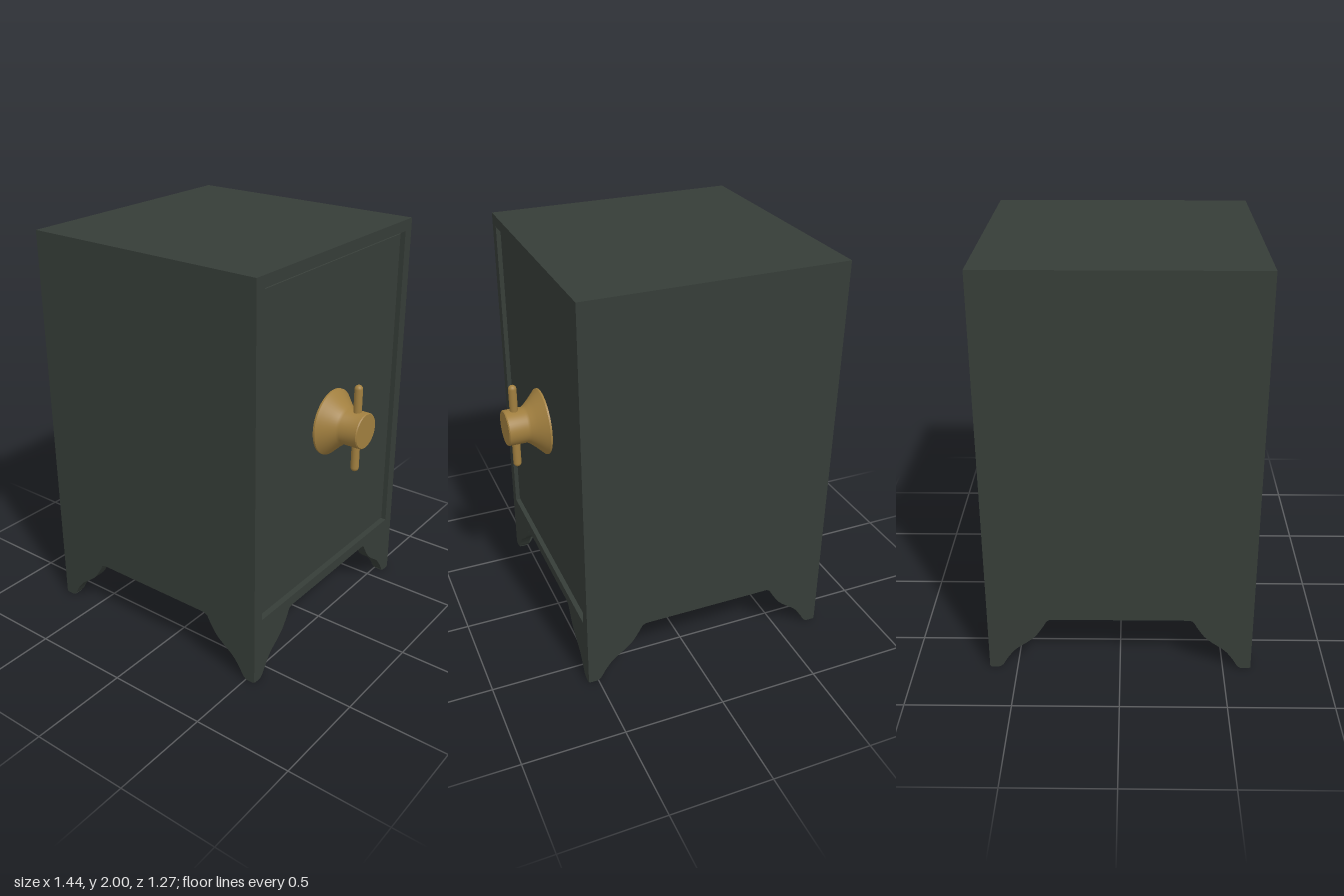
import * as THREE from 'three';
import { toCreasedNormals } from 'three/addons/utils/BufferGeometryUtils.js';

const HALF = 0.635;      // half of the square footprint
const CENTRE_X = -0.085; // cabinet centre, the knob sticks out on +x
const FLOOR = 0.28;      // underside of the cabinet
const TOP = 2;
const RECESS = 0.035;    // depth of the door opening
const PLATE = 0.055;     // thickness of the foot plates
const BEVEL = 0.006;

const iron = new THREE.MeshStandardMaterial({ color: 0x363d38 });
const brass = new THREE.MeshStandardMaterial({ color: 0xa17f3f });

function add(parent, name, geometry, material, x = 0, y = 0, z = 0) {
  const mesh = new THREE.Mesh(geometry, material);
  mesh.name = name;
  mesh.position.set(x, y, z);
  parent.add(mesh);
  return mesh;
}

function rectangle(target, halfWidth, bottom, top) {
  target.moveTo(-halfWidth, bottom);
  target.lineTo(halfWidth, bottom);
  target.lineTo(halfWidth, top);
  target.lineTo(-halfWidth, top);
  target.closePath();
  return target;
}

// One scalloped foot plate, running along +x from the corner
function footPlate() {
  const shape = new THREE.Shape();
  shape.moveTo(0, FLOOR);
  shape.lineTo(0, 0.006);
  shape.lineTo(0.006, 0);
  shape.lineTo(0.045, 0);
  shape.splineThru([
    [0.065, 0.014], [0.09, 0.055], [0.13, 0.105], [0.19, 0.15],
    [0.23, 0.186], [0.265, 0.237], [0.285, 0.27], [0.305, FLOOR],
  ].map(([x, y]) => new THREE.Vector2(x, y)));
  shape.closePath();
  const geometry = new THREE.ExtrudeGeometry(shape, {
    depth: PLATE, bevelEnabled: false, curveSegments: 24,
  });
  return toCreasedNormals(geometry, 0.5);
}

export function createModel() {
  const model = new THREE.Group();
  model.name = 'safe';
  const cabinet = new THREE.Group();
  cabinet.name = 'cabinet';
  cabinet.position.x = CENTRE_X;
  model.add(cabinet);

  // Solid body behind the door opening
  const height = TOP - FLOOR;
  add(cabinet, 'body', new THREE.BoxGeometry(2 * HALF - RECESS, height, 2 * HALF),
    iron, -RECESS / 2, FLOOR + height / 2, 0);

  // Frame around the door
  const frame = rectangle(new THREE.Shape(), HALF, FLOOR, TOP);
  frame.holes.push(rectangle(new THREE.Path(), 0.578, 0.333, 1.945));
  const frameGeometry = new THREE.ExtrudeGeometry(frame, { depth: RECESS, bevelEnabled: false });
  frameGeometry.rotateY(Math.PI / 2);
  add(cabinet, 'doorFrame', frameGeometry, iron, HALF - RECESS, 0, 0);

  // Door panel, set slightly back with a narrow bevelled edge
  const panel = rectangle(new THREE.Shape(), 0.564, 0.347, 1.931);
  const panelGeometry = new THREE.ExtrudeGeometry(panel, {
    depth: 0.006, bevelThickness: BEVEL, bevelSize: BEVEL, bevelSegments: 1,
  });
  panelGeometry.rotateY(Math.PI / 2);
  add(cabinet, 'door', panelGeometry, iron, HALF - RECESS + 0.004, 0, 0);

  // Four corner feet, each of two plates at right angles
  const along = footPlate();
  const across = along.clone().rotateY(-Math.PI / 2).translate(PLATE, 0, 0);
  for (let i = 0; i < 4; i++) {
    const foot = new THREE.Group();
    foot.name = 'foot' + (i + 1);
    foot.rotation.y = i * Math.PI / 2;
    add(foot, 'footPlateA', along, iron, -HALF, 0, -HALF);
    add(foot, 'footPlateB', across, iron, -HALF, 0, -HALF);
    cabinet.add(foot);
  }

  // Flared knob turned around the x axis
  const knob = new THREE.Group();
  knob.name = 'knob';
  knob.position.set(0, 1.14, 0);
  model.add(knob);
  const profile = [
    [0, 0.52], [0.163, 0.52], [0.163, 0.54], [0.15, 0.553], [0.12, 0.583],
    [0.095, 0.612], [0.088, 0.625], [0.088, 0.715], [0.084, 0.72], [0, 0.72],
  ].map(([r, x]) => new THREE.Vector2(r, x));
  const knobGeometry = toCreasedNormals(new THREE.LatheGeometry(profile, 48), 0.6);
  knobGeometry.rotateZ(-Math.PI / 2);
  add(knob, 'knobBody', knobGeometry, brass);

  // Round-ended bar through the knob
  add(knob, 'handleBar', new THREE.CapsuleGeometry(0.02, 0.405, 6, 20), brass, 0.67, 0, 0);

  return model;
}
